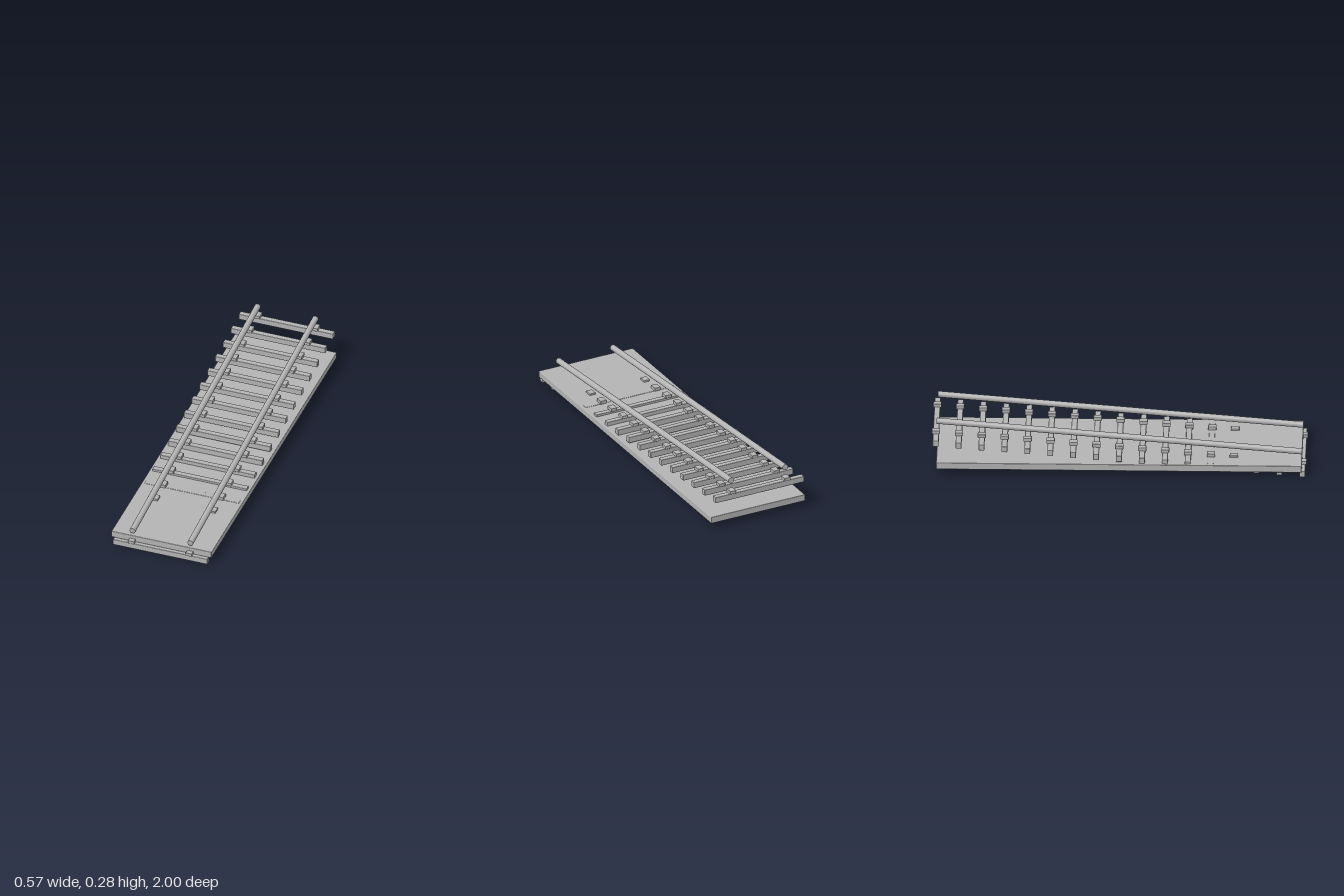
import * as THREE from 'three';
import { RoundedBoxGeometry } from 'three/addons/geometries/RoundedBoxGeometry.js';

export function createModel() {
  const model = new THREE.Group();
  model.name = 'rampTrack';
  const steel = new THREE.MeshStandardMaterial({ color: 0xb4b4b4 });
  steel.name = 'plain grey';

  const add = (name, geometry, x, y, z) => {
    const mesh = new THREE.Mesh(geometry, steel);
    mesh.name = name;
    mesh.position.set(x, y, z);
    model.add(mesh);
    return mesh;
  };

  // Flat base board
  add('baseBoard', new RoundedBoxGeometry(0.568, 0.038, 1.95, 2, 0.004), 0, 0.053, 0);

  // Sleepers climbing in even steps, each with a pad under both rails
  const count = 17, endZ = 0.978, rise = 0.01, railX = 0.164;
  const sleeperGeometry = new RoundedBoxGeometry(0.536, 0.034, 0.031, 2, 0.003);
  const padGeometry = new RoundedBoxGeometry(0.035, 0.019, 0.044, 2, 0.002);
  for (let i = 0; i < count; i++) {
    const z = endZ - (2 * endZ * i) / (count - 1);
    const bottom = i * rise;
    add('sleeper', sleeperGeometry, 0, bottom + 0.017, z);
    for (const side of [-1, 1]) add('railPad', padGeometry, side * railX, bottom + 0.0425, z);
  }

  // Round rails sloping up towards the back
  const front = new THREE.Vector3(0, 0.103, 0.975);
  const back = new THREE.Vector3(0, 0.264, -0.975);
  const along = back.clone().sub(front);
  const railGeometry = new THREE.CylinderGeometry(0.0165, 0.0165, along.length(), 20);
  for (const side of [-1, 1]) {
    const rail = add(side > 0 ? 'leftRail' : 'rightRail', railGeometry,
      side * railX, (front.y + back.y) / 2, 0);
    rail.quaternion.setFromUnitVectors(new THREE.Vector3(0, 1, 0), along.clone().normalize());
  }
  return model;
}
